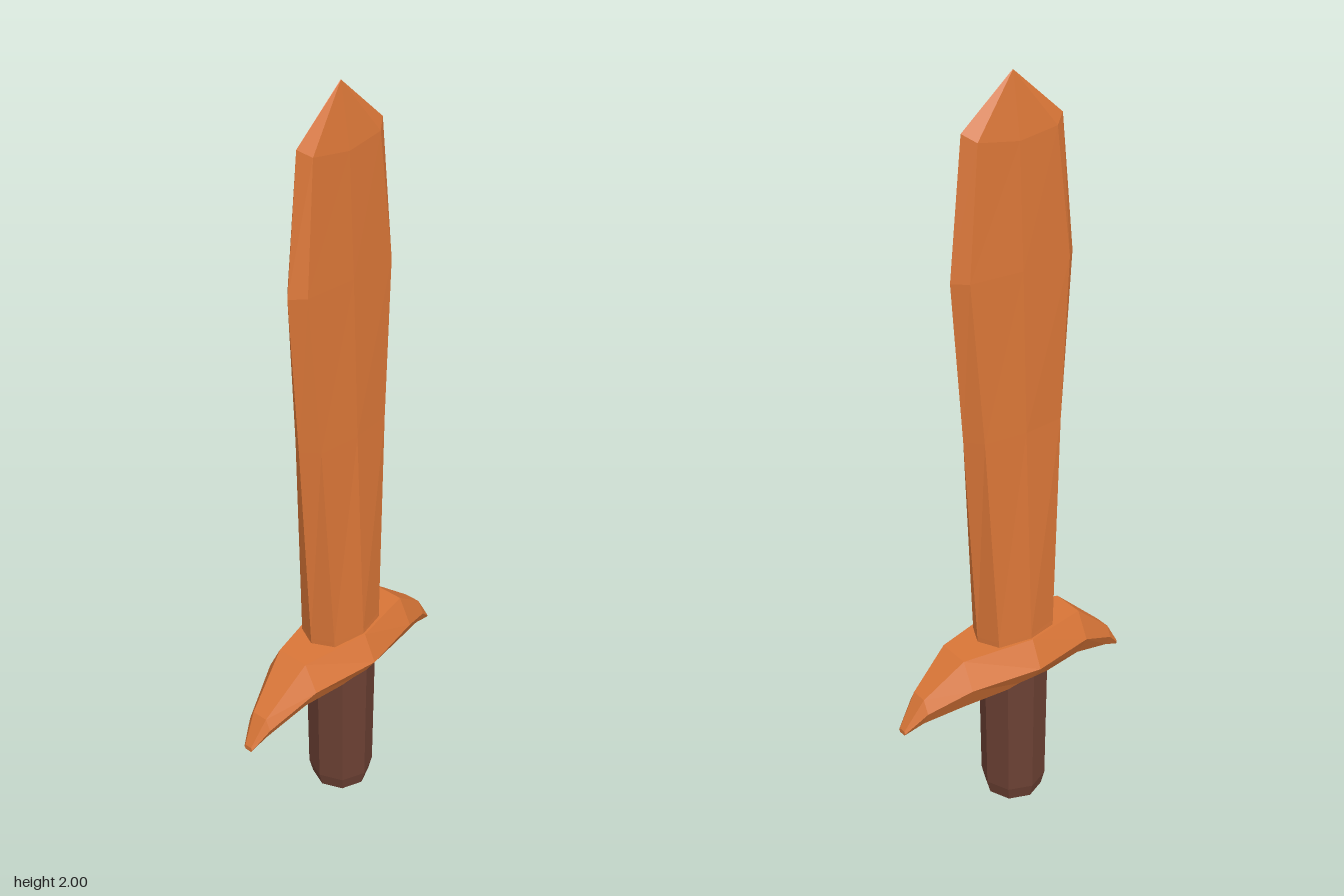
import * as THREE from 'three';

const orange = new THREE.MeshStandardMaterial({ color: 0xd87537, flatShading: true });
orange.name = 'orange';
const brown = new THREE.MeshStandardMaterial({ color: 0x6b4033, flatShading: true });
brown.name = 'brown';

// Skins rings of [x, y, z] points and closes both ends with a fan.
// Rings turn counter-clockwise when seen from the last ring.
function loft(rings) {
  const pos = [];
  const tri = (a, b, c) => pos.push(...a, ...b, ...c);
  const n = rings[0].length;
  const centre = (ring) => [0, 1, 2].map((k) => ring.reduce((s, p) => s + p[k], 0) / n);
  const first = rings[0], last = rings[rings.length - 1];
  const c0 = centre(first), c1 = centre(last);
  for (let j = 0; j < n; j++) {
    const k = (j + 1) % n;
    for (let i = 0; i + 1 < rings.length; i++) {
      const a = rings[i], b = rings[i + 1];
      tri(a[j], a[k], b[k]);
      tri(a[j], b[k], b[j]);
    }
    tri(c0, first[k], first[j]);
    tri(c1, last[j], last[k]);
  }
  const g = new THREE.BufferGeometry();
  g.setAttribute('position', new THREE.Float32BufferAttribute(pos, 3));
  g.computeVertexNormals();
  return g;
}

function part(name, geometry, material) {
  const mesh = new THREE.Mesh(geometry, material);
  mesh.name = name;
  return mesh;
}

// Blade: eight-sided section with a centre ridge, flats, bevels and cutting edges
function makeBlade() {
  // [ridge y, edge y, ridge x, shoulder x, shoulder z, edge z]
  const stations = [
    [0.48, 0.48, 0.083, 0.060, 0.085, 0.11],
    [0.56, 0.56, 0.079, 0.057, 0.088, 0.115],
    [1.14, 1.14, 0.054, 0.042, 0.115, 0.148],
    [1.55, 1.55, 0.040, 0.031, 0.143, 0.176],
    [1.85, 1.885, 0.026, 0.020, 0.11, 0.14],
    [2.0, 2.0, 0.001, 0.001, 0.001, 0.002],
  ];
  return loft(stations.map(([yr, ye, xr, xs, zs, ze]) => {
    const ys = yr + (ye - yr) * 0.4;
    return [
      [0, ye, ze], [xs, ys, zs], [xr, yr, 0], [xs, ys, -zs],
      [0, ye, -ze], [-xs, ys, -zs], [-xr, yr, 0], [-xs, ys, zs],
    ];
  }));
}

// Guard: hexagonal section swept along z, drooping to both tips
function makeGuard() {
  // [z, top y, middle y, bottom y, top x, middle x, bottom x]
  const stations = [
    [-0.355, 0.372, 0.366, 0.36, 0.010, 0.014, 0.010],
    [-0.30, 0.455, 0.42, 0.378, 0.022, 0.040, 0.018],
    [-0.19, 0.54, 0.468, 0.398, 0.045, 0.082, 0.045],
    [0, 0.55, 0.475, 0.41, 0.085, 0.119, 0.075],
    [0.185, 0.54, 0.468, 0.405, 0.045, 0.082, 0.045],
    [0.31, 0.425, 0.395, 0.36, 0.022, 0.036, 0.018],
    [0.355, 0.352, 0.345, 0.338, 0.010, 0.014, 0.010],
  ];
  return loft(stations.map(([z, yt, ym, yb, xt, xm, xb]) => [
    [xt, yt, z], [-xt, yt, z], [-xm, ym, z],
    [-xb, yb, z], [xb, yb, z], [xm, ym, z],
  ]));
}

// Grip: octagonal bar with a bevelled pommel end
function makeGrip() {
  const profile = [[0, 0], [0.055, 0.003], [0.078, 0.02], [0.088, 0.06], [0.092, 0.45], [0, 0.45]];
  return new THREE.LatheGeometry(profile.map(([r, y]) => new THREE.Vector2(r, y)), 8);
}

export function createModel() {
  const sword = new THREE.Group();
  sword.name = 'sword';
  sword.add(
    part('blade', makeBlade(), orange),
    part('guard', makeGuard(), orange),
    part('grip', makeGrip(), brown),
  );
  return sword;
}
